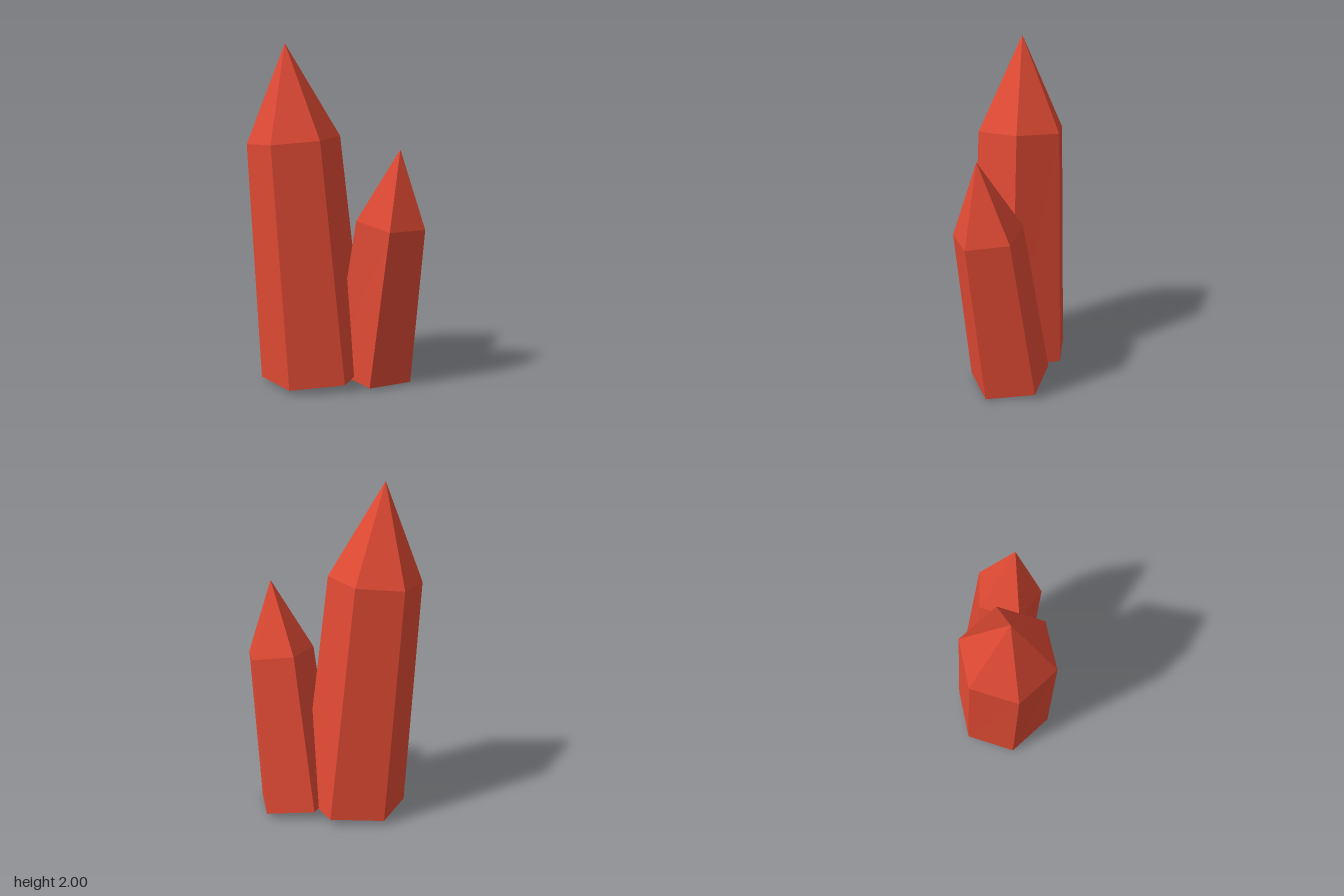
import * as THREE from 'three';

const crystalRed = new THREE.MeshStandardMaterial({ color: 0xe04a34 });
crystalRed.name = 'crystalRed';
crystalRed.flatShading = true;

// Leaning prism with a pointed tip: base ring, shoulder ring and apex.
// Rings run counterclockwise seen from above.
function crystal(name, base, shoulder, apex) {
  const pos = [];
  const tri = (a, b, c) => pos.push(...a, ...b, ...c);
  const n = base.length;
  for (let i = 0; i < n; i++) {
    const j = (i + 1) % n;
    tri(base[i], base[j], shoulder[j]); // side facet
    tri(base[i], shoulder[j], shoulder[i]);
    tri(shoulder[i], shoulder[j], apex); // tip facet
    if (i > 0 && j > 0) tri(base[0], base[j], base[i]); // underside
  }
  const geometry = new THREE.BufferGeometry();
  geometry.setAttribute('position', new THREE.Float32BufferAttribute(pos, 3));
  geometry.computeVertexNormals();
  const mesh = new THREE.Mesh(geometry, crystalRed);
  mesh.name = name;
  return mesh;
}

export function createModel() {
  const group = new THREE.Group();
  group.name = 'crystalCluster';

  // Tall six-sided crystal
  group.add(crystal('tallCrystal',
    [[-0.455, 0.015, 0.06], [-0.245, 0.028, 0.303], [0.07, 0.05, 0.24],
      [0.17, 0.064, -0.06], [-0.04, 0.05, -0.305], [-0.355, 0.03, -0.242]],
    [[-0.519, 1.428, 0.075], [-0.34, 1.438, 0.28], [-0.072, 1.46, 0.225],
      [0.012, 1.472, -0.035], [-0.166, 1.461, -0.238], [-0.434, 1.44, -0.185]],
    [-0.298, 2, 0.03]));

  // Short five-sided crystal
  group.add(crystal('shortCrystal',
    [[-0.027, 0.055, 0.012], [0.21, 0.016, 0.187], [0.442, 0, 0.012],
      [0.355, 0.03, -0.261], [0.063, 0.064, -0.259]],
    [[0.12, 0.993, 0.101], [0.32, 0.953, 0.241], [0.516, 0.947, 0.095],
      [0.441, 0.977, -0.137], [0.198, 1.008, -0.135]],
    [0.368, 1.405, 0.076]));

  return group;
}
